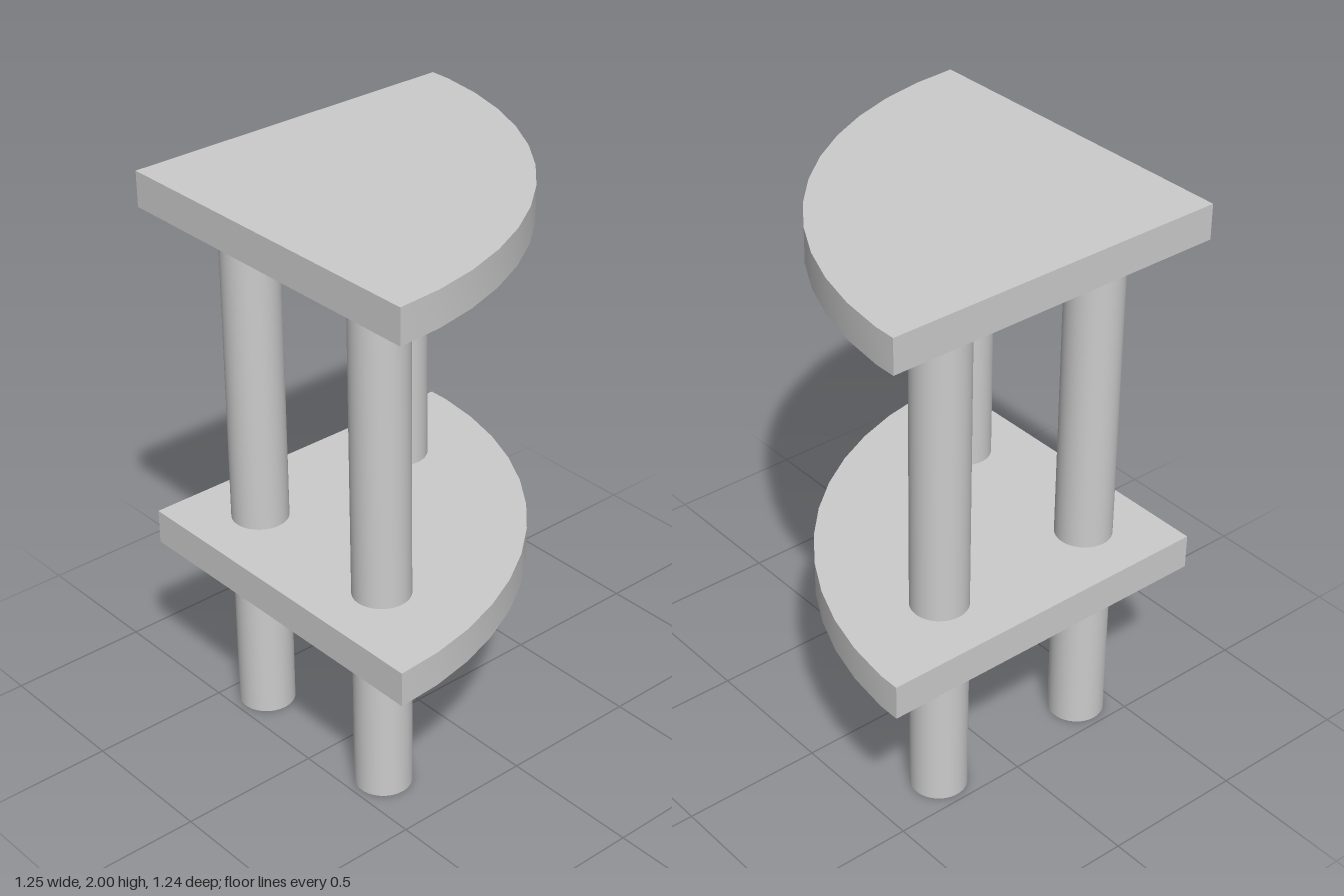
import * as THREE from 'three';
import { toCreasedNormals } from 'three/addons/utils/BufferGeometryUtils.js';

const RADIUS = 1.245;
const CORNER = 0.6225;
const THICKNESS = 0.123;

// Quarter-disc board: square corner at the front right, curved edge at the back left
function boardGeometry() {
  const step = Math.PI * 2 / 50;
  const shape = new THREE.Shape();
  shape.moveTo(0, 0);
  for (let i = 0; i <= 12; i++) {
    shape.lineTo(RADIUS * Math.cos(i * step), RADIUS * Math.sin(i * step));
  }
  shape.lineTo(0, RADIUS * Math.sin(12 * step));
  shape.closePath();
  const geometry = new THREE.ExtrudeGeometry(shape, { depth: THICKNESS, bevelEnabled: false });
  geometry.rotateX(-Math.PI / 2);
  geometry.translate(-CORNER, 0, CORNER - 0.001);
  return toCreasedNormals(geometry, 0.5);
}

export function createModel() {
  const model = new THREE.Group();
  model.name = 'cornerTable';
  const grey = new THREE.MeshStandardMaterial({ color: 0xcccccc });
  grey.name = 'light grey';

  // Table top and lower shelf
  const board = boardGeometry();
  for (const [name, y] of [['tableTop', 2 - THICKNESS], ['lowerShelf', 0.63]]) {
    const mesh = new THREE.Mesh(board, grey);
    mesh.name = name;
    mesh.position.y = y;
    model.add(mesh);
  }

  // Three round legs running from the floor to the top
  const height = 2 - THICKNESS;
  const legGeometry = new THREE.CylinderGeometry(0.098, 0.098, height, 48);
  const legs = [
    ['cornerLeg', -0.377, 0.377],
    ['frontLeg', 0.247, 0.377],
    ['backLeg', -0.377, -0.247],
  ];
  for (const [name, x, z] of legs) {
    const leg = new THREE.Mesh(legGeometry, grey);
    leg.name = name;
    leg.position.set(x, height / 2, z);
    model.add(leg);
  }
  return model;
}
